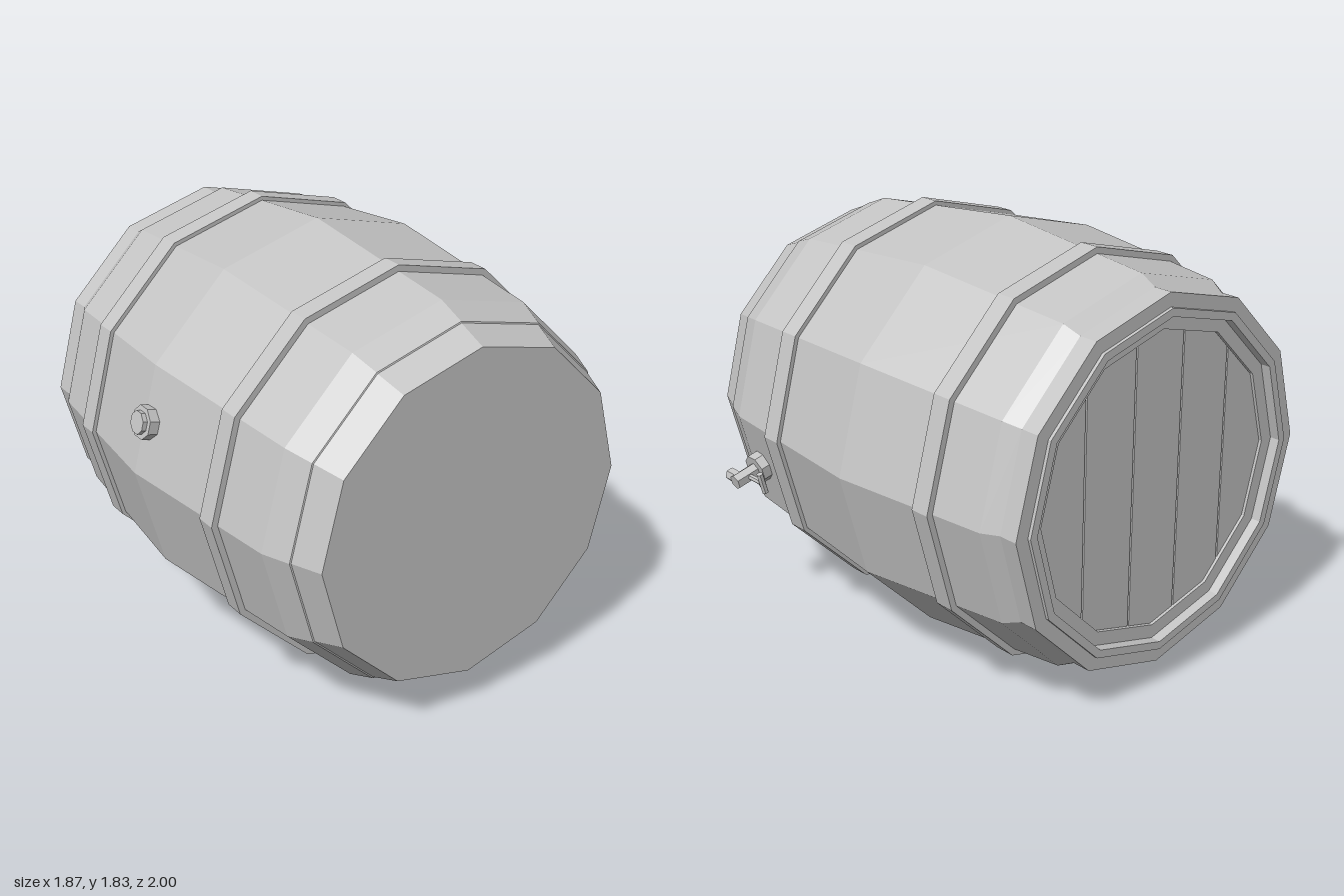
import * as THREE from 'three';

const SIDES = 12;

export function createModel() {
  const grey = new THREE.MeshStandardMaterial({ color: 0xc4c4c4 });
  grey.name = 'plain grey';

  // Faceted mesh: unshared vertices give every face its own flat normal
  function addMesh(parent, name, geometry) {
    const flat = geometry.index ? geometry.toNonIndexed() : geometry;
    flat.computeVertexNormals();
    const mesh = new THREE.Mesh(flat, grey);
    mesh.name = name;
    parent.add(mesh);
    return mesh;
  }

  // Twelve-sided turned shape around the z axis; points are [radius, z]
  function turned(points) {
    const profile = points.map(([r, z]) => new THREE.Vector2(r, z));
    return new THREE.LatheGeometry(profile, SIDES).rotateX(Math.PI / 2);
  }

  // Prism along a chosen axis, from a to b
  function prism(axis, radius, a, b, sides) {
    const g = new THREE.CylinderGeometry(radius, radius, b - a, sides);
    g.rotateY(Math.PI / sides).translate(0, (a + b) / 2, 0);
    if (axis === 'x') g.rotateZ(-Math.PI / 2);
    if (axis === 'z') g.rotateX(Math.PI / 2);
    return g;
  }

  const model = new THREE.Group();
  model.name = 'barrel';

  const cask = new THREE.Group();
  cask.name = 'cask';
  cask.position.set(-0.015, 0.915, 0);
  model.add(cask);

  // Body with recessed back, back rim band and flat front
  addMesh(cask, 'body', turned([
    [0, -0.93], [0.64, -0.93], [0.64, -0.955], [0.7, -0.955], [0.7, -1],
    [0.735, -1], [0.735, -0.985], [0.795, -0.985], [0.795, -0.9],
    [0.835, -0.83], [0.915, -0.08], [0.834, 0.75], [0.787, 0.87],
    [0.781, 0.872], [0.73, 1], [0, 1],
  ]));

  // Two hoops
  for (const [name, z0, z1] of [['frontHoop', 0.39, 0.48], ['backHoop', -0.59, -0.5]]) {
    addMesh(cask, name, turned([[0.83, z0], [0.888, z0], [0.888, z1], [0.83, z1]]));
  }

  // Back planks: vertical strips cut to the twelve-sided outline
  const R = 0.638;
  const corners = [];
  for (let i = -3; i <= 3; i++) {
    const a = (i * Math.PI) / 6;
    corners.push([R * Math.sin(a), R * Math.cos(a)]);
  }
  function halfHeight(x) {
    for (let i = 0; i < corners.length - 1; i++) {
      const [x0, h0] = corners[i];
      const [x1, h1] = corners[i + 1];
      if (x <= x1) return h0 + ((h1 - h0) * (x - x0)) / (x1 - x0);
    }
    return 0;
  }
  const seams = [-R, -0.4, -0.133, 0.133, 0.4, R];
  for (let i = 0; i < 5; i++) {
    const a = seams[i] + (i > 0 ? 0.004 : 0);
    const b = seams[i + 1] - (i < 4 ? 0.004 : 0);
    const xs = [a, ...corners.map((c) => c[0]).filter((x) => x > a + 1e-4 && x < b - 1e-4), b];
    const outline = [
      ...xs.map((x) => new THREE.Vector2(x, -halfHeight(x))),
      ...xs.reverse().map((x) => new THREE.Vector2(x, halfHeight(x))),
    ];
    const plank = new THREE.ExtrudeGeometry(new THREE.Shape(outline), { depth: 0.015, bevelEnabled: false });
    addMesh(cask, 'backPlank', plank).position.z = -0.943;
  }

  // Bung on the right side, pointing out of its facet
  const bung = new THREE.Group();
  bung.name = 'bung';
  bung.position.set(-0.869, 1.144, -0.05);
  bung.rotation.z = THREE.MathUtils.degToRad(165);
  addMesh(bung, 'bungCollar', prism('x', 0.072, -0.02, 0.035, 8));
  addMesh(bung, 'bungHead', prism('x', 0.05, 0.03, 0.055, 8));
  model.add(bung);

  // Tap on the left side
  const tap = new THREE.Group();
  tap.name = 'tap';
  tap.position.set(0.769, 0.705, 0.65);
  tap.rotation.z = THREE.MathUtils.degToRad(-15);
  addMesh(tap, 'tapFlange', prism('x', 0.068, -0.03, 0.05, 8));
  addMesh(tap, 'tapPipe', prism('x', 0.034, 0.03, 0.16, 6));
  addMesh(tap, 'tapSpout', prism('z', 0.029, 0, 0.075, 6)).position.x = 0.13;
  addMesh(tap, 'tapStem', prism('z', 0.013, -0.115, 0, 6)).position.x = 0.095;
  addMesh(tap, 'tapHandle', prism('y', 0.015, -0.048, 0.048, 6)).position.set(0.095, 0, -0.118);
  model.add(tap);

  return model;
}
